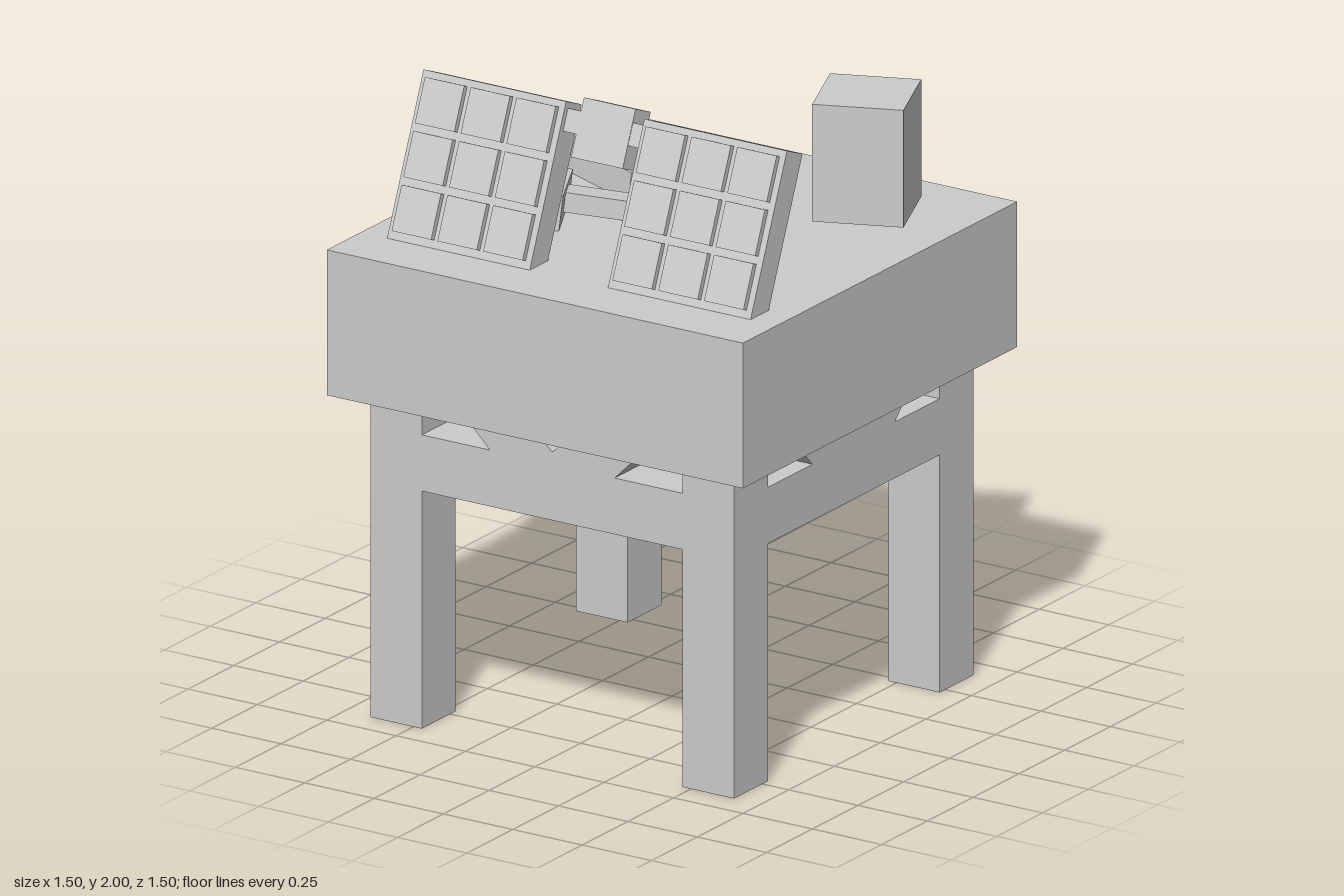
import * as THREE from 'three';

const material = new THREE.MeshStandardMaterial({ color: 0xcccccc, flatShading: true });

// Box given by its low and high corners
function box(parent, name, [x0, y0, z0], [x1, y1, z1]) {
  const geo = new THREE.BoxGeometry(x1 - x0, y1 - y0, z1 - z0);
  const mesh = new THREE.Mesh(geo, material);
  mesh.position.set((x0 + x1) / 2, (y0 + y1) / 2, (z0 + z1) / 2);
  mesh.name = name;
  parent.add(mesh);
  return mesh;
}

function subGroup(parent, name, position, rx = 0, ry = 0, rz = 0) {
  const g = new THREE.Group();
  g.name = name;
  g.position.set(...position);
  g.rotation.set(rx, ry, rz, 'YXZ');
  parent.add(g);
  return g;
}

function polygon(points) {
  return new THREE.Shape(points.map(([x, y]) => new THREE.Vector2(x, y)));
}

export function createModel() {
  const model = new THREE.Group();
  model.name = 'workTable';

  // Table: thick top and four square legs
  const inner = 0.47, outer = 0.655, under = 1.04;
  box(model, 'tableTop', [-0.75, under, -0.75], [0.75, 1.505, 0.75]);
  for (const sx of [-1, 1]) {
    for (const sz of [-1, 1]) {
      const leg = box(model, 'leg', [inner, 0, inner], [outer, under, outer]);
      leg.position.x *= sx;
      leg.position.z *= sz;
    }
  }

  // Rails with diagonal braces rising to the top, one per side
  const railShape = polygon([
    [-inner, 0.76], [inner, 0.76], [inner, 0.94], [0.225, 0.94], [0.325, under],
    [0.065, under], [0, 0.978], [-0.065, under], [-0.325, under], [-0.225, 0.94], [-inner, 0.94],
  ]);
  const railGeo = new THREE.ExtrudeGeometry(railShape, { depth: outer - inner, bevelEnabled: false });
  railGeo.translate(0, 0, inner);
  for (let i = 0; i < 4; i++) {
    const rail = new THREE.Mesh(railGeo, material);
    rail.name = 'bracedRail';
    rail.rotation.y = i * Math.PI / 2;
    model.add(rail);
  }

  // Pair of tiled panels leaning back, joined by a bridge
  const panels = subGroup(model, 'tiledPanels', [0, 1.985, 0.365], -0.393);
  for (const s of [-1, 1]) {
    const cx = s * 0.398;
    box(panels, 'panel', [cx - 0.257, -0.56, -0.092], [cx + 0.257, 0, 0]);
    for (let row = 0; row < 3; row++) {
      for (let col = -1; col <= 1; col++) {
        const x = cx + col * 0.165, y = -0.092 - row * 0.166;
        box(panels, 'tile', [x - 0.071, y - 0.071, -0.01], [x + 0.071, y + 0.071, 0.018]);
      }
    }
  }
  box(panels, 'bridge', [-0.093, -0.161, -0.107], [0.093, 0.023, -0.017]);
  box(panels, 'bridgeArm', [-0.19, -0.09, -0.105], [0.19, -0.019, -0.019]);

  // Square canister
  const canister = subGroup(model, 'canister', [0.423, 1.505, -0.423], 0, 0.39);
  box(canister, 'canisterBody', [-0.14, 0.01, -0.14], [0.14, 0.385, 0.14]);

  // Book tilted with its front edge raised
  const book = subGroup(model, 'book', [-0.412, 1.567, -0.392], -0.15, -0.395);
  box(book, 'bookBlock', [-0.279, -0.1, -0.182], [0.279, 0, 0.182]);

  // Mallet lying with its head raised
  const mallet = subGroup(model, 'mallet', [-0.4, 1.618, 0.132], -0.06, 0.48, -0.11);
  box(mallet, 'malletHead', [-0.095, -0.13, -0.144], [0.095, 0, 0.144]);
  box(mallet, 'malletHandle', [0.05, -0.08, -0.042], [0.565, -0.018, 0.048]);

  return model;
}
